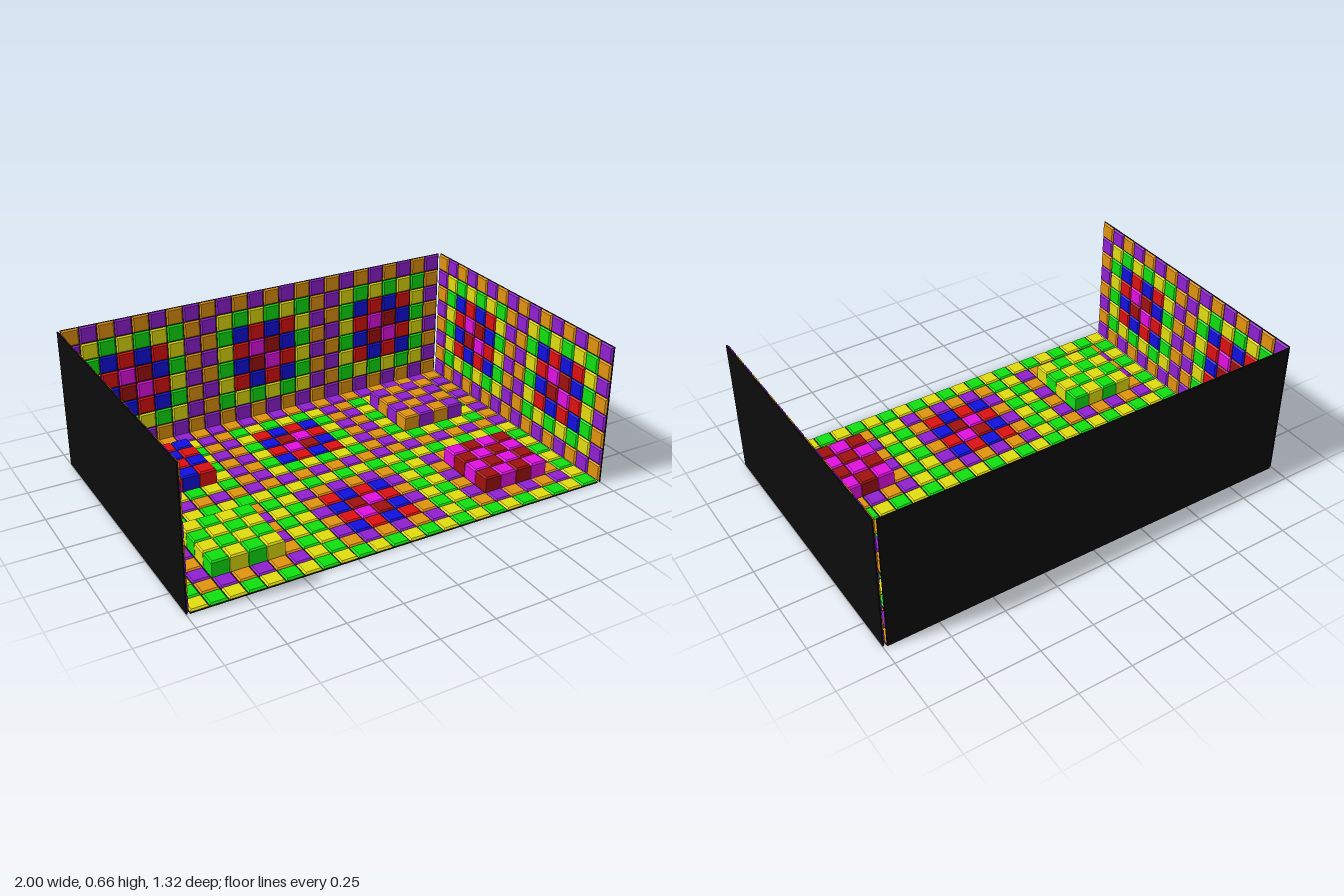
import * as THREE from 'three';
import { mergeGeometries } from 'three/addons/utils/BufferGeometryUtils.js';

const PITCH = 0.082, TILE = 0.079, FACE = 0.067, LIFT = 0.008, PLATE = 0.006;
const COLORS = {
  black: 0x0c0c0c, orange: 0xe0930f, purple: 0x9020d0, yellow: 0xe0dc10, green: 0x10e010,
  red: 0xdd1010, blue: 0x1010e0, magenta: 0xe010e0, crimson: 0xa01010,
};
const materials = {};
for (const key in COLORS) {
  materials[key] = new THREE.MeshStandardMaterial({ color: COLORS[key], flatShading: true });
}

// Colour pairs: [even square, odd square] of the checker
const PO = ['purple', 'orange'], GY = ['green', 'yellow'], RB = ['red', 'blue'], CM = ['crimson', 'magenta'];

// Ring number inside an 8 x 8 module: 0 border, 1 frame, 2 core edge, 3 centre
const ringOf = (c, r) => Math.min(c % 8, 7 - (c % 8), r % 8, 7 - (r % 8));

// Bevelled square tile facing +z, optionally standing on a block
function tileGeometry(height) {
  const bevel = new THREE.CylinderGeometry(FACE / Math.SQRT2, TILE / Math.SQRT2, LIFT, 4).toNonIndexed();
  bevel.rotateY(Math.PI / 4).rotateX(Math.PI / 2).translate(0, 0, height + LIFT / 2);
  if (!height) return bevel;
  const block = new THREE.BoxGeometry(TILE, TILE, height).toNonIndexed();
  block.translate(0, 0, height / 2);
  return mergeGeometries([bevel, block]);
}

// Black plate facing +z with a grid of coloured tiles; row 0 is at the bottom
function panel(name, cols, rows, colorAt, heightAt = () => 0) {
  const group = new THREE.Group();
  group.name = name;
  const plate = new THREE.Mesh(
    new THREE.BoxGeometry(cols * PITCH, rows * PITCH, PLATE), materials.black);
  plate.position.z = -PLATE / 2;
  plate.name = name + ' plate';
  group.add(plate);

  const byColor = {};
  for (let r = 0; r < rows; r++) {
    for (let c = 0; c < cols; c++) {
      const tile = tileGeometry(heightAt(c, r));
      tile.translate((c - (cols - 1) / 2) * PITCH, (r - (rows - 1) / 2) * PITCH, 0);
      (byColor[colorAt(c, r)] ||= []).push(tile);
    }
  }
  for (const color in byColor) {
    const mesh = new THREE.Mesh(mergeGeometries(byColor[color]), materials[color]);
    mesh.name = `${name} ${color} tiles`;
    group.add(mesh);
  }
  return group;
}

// Walls: the same four nested rings in every module
const wallColor = (c, r) => [PO, GY, RB, CM][ringOf(c, r)][(c + r) % 2];

// Floor: rows counted from the back; each corner module has its own core
function floorColor(c, row) {
  const r = 15 - row, odd = (c + r) % 2, ring = ringOf(c, r);
  const front = r > 7, column = Math.floor(c / 8);
  if (ring < 2) return ((ring === 0) === front ? GY : PO)[odd];
  if (column === 1) return (ring === 2 ? RB : CM)[odd];
  if (column === 0) return front ? GY[1 - odd] : RB[odd];
  return front ? CM[1 - odd] : PO[odd];
}
// Corner cores are raised blocks
const floorHeight = (c, row) => (ringOf(c, row) >= 2 && Math.floor(c / 8) !== 1 ? 0.066 : 0);

export function createModel() {
  const model = new THREE.Group();
  model.name = 'tiledRoom';
  const midY = 4 * PITCH + 0.002, shift = 0.004;

  const floor = panel('floor', 24, 16, floorColor, floorHeight);
  floor.rotation.x = -Math.PI / 2;
  floor.position.set(0, PLATE, shift);
  model.add(floor);

  const back = panel('backWall', 24, 8, wallColor);
  back.position.set(0, midY, -8 * PITCH + shift - 0.002);
  model.add(back);

  // Side walls face inwards
  for (const side of [1, -1]) {
    const wall = panel(side > 0 ? 'leftWall' : 'rightWall', 16, 8, wallColor);
    wall.rotation.y = -side * Math.PI / 2;
    wall.position.set(side * (1 - PLATE), midY, shift);
    model.add(wall);
  }
  return model;
}
